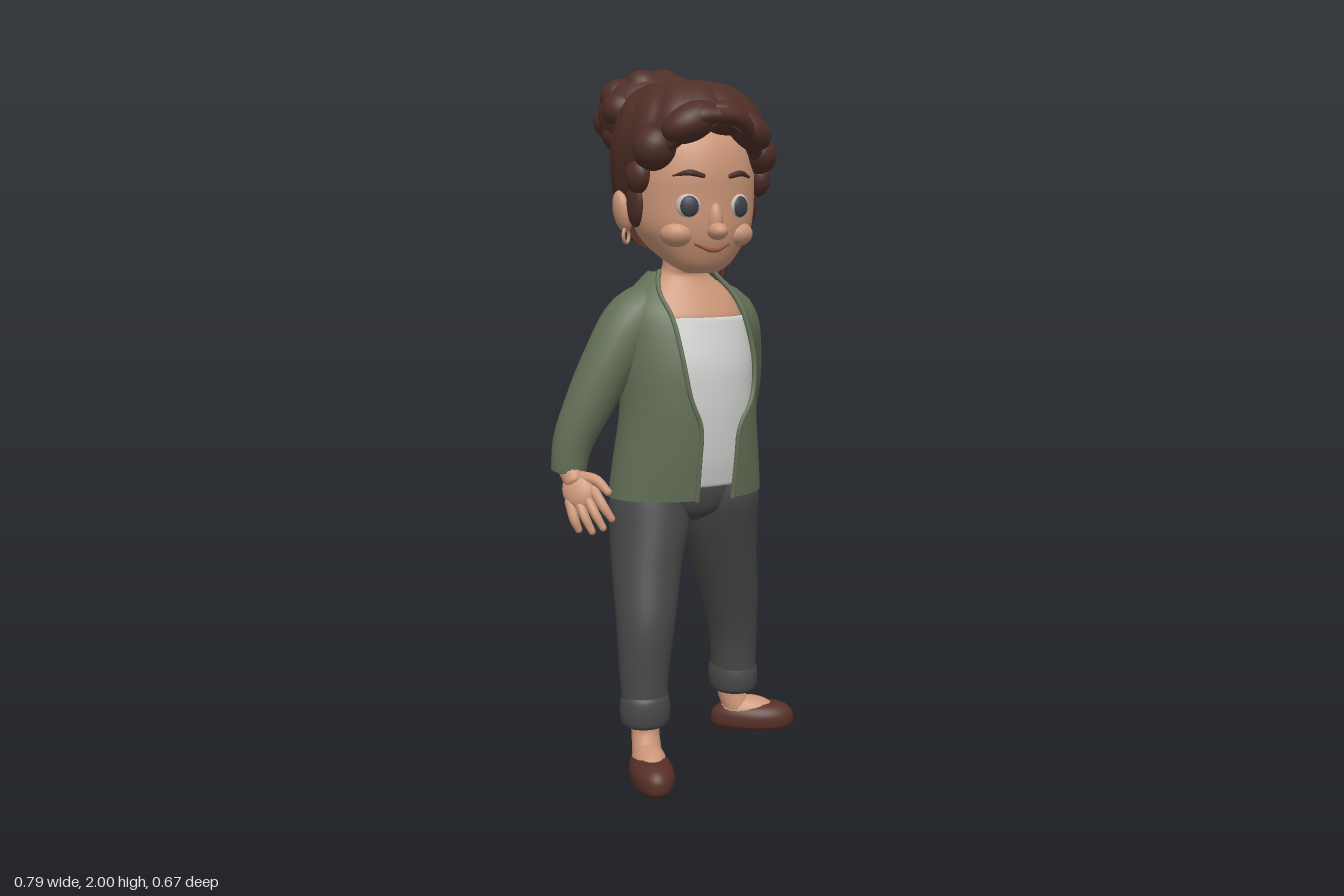
import * as THREE from 'three';

const mat = (name, color, side = THREE.FrontSide) => {
  const m = new THREE.MeshStandardMaterial({ color, side });
  m.name = name;
  return m;
};

// Skin a list of closed or open point rows, smooth shaded
function gridGeometry(rows, closed) {
  const n = rows[0].length, pos = [], idx = [];
  rows.forEach(r => r.forEach(p => pos.push(p.x, p.y, p.z)));
  for (let j = 0; j < rows.length - 1; j++) {
    for (let i = 0; i < (closed ? n : n - 1); i++) {
      const k = (i + 1) % n, a = j * n + i, b = j * n + k, c = a + n, d = b + n;
      idx.push(a, b, d, a, d, c);
    }
  }
  const g = new THREE.BufferGeometry();
  g.setAttribute('position', new THREE.Float32BufferAttribute(pos, 3));
  g.setIndex(idx);
  g.computeVertexNormals();
  return g;
}

// Smooth interpolation between section rows
function sample(rows, t) {
  const n = rows.length - 1, i = Math.min(Math.floor(t * n), n - 1), f = t * n - i;
  const at = k => rows[Math.max(0, Math.min(n, k))];
  return rows[i].map((b, k) => {
    const a = at(i - 1)[k], c = at(i + 1)[k], d = at(i + 2)[k];
    return b + 0.5 * f * (c - a + f * (2 * a - 5 * b + 4 * c - d + f * (3 * (b - c) + d - a)));
  });
}

// Horizontal elliptic sections [y, cx, cz, rx, rz, openLeft, openRight], bottom to top.
// The two optional angles leave a gap at the front.
function loftRows(sections, { steps = 32, sides = 40, ripple = () => 1 } = {}) {
  const open = sections[0].length > 5, rows = [];
  for (let j = 0; j <= steps; j++) {
    const [y, cx, cz, rx, rz, l = 0, r = 0] = sample(sections, j / steps);
    const row = [];
    for (let i = 0; i < sides + (open ? 1 : 0); i++) {
      const a = r + (Math.PI * 2 + l - r) * i / sides, k = ripple(a);
      row.push(new THREE.Vector3(cx + rx * k * Math.sin(a), y, cz + rz * k * Math.cos(a)));
    }
    rows.push(row);
  }
  if (!open) {
    const cap = s => rows[0].map(() => new THREE.Vector3(s[1], s[0], s[2]));
    rows.unshift(cap(sections[0]));
    rows.push(cap(sections[sections.length - 1]));
  }
  return rows;
}
const loft = (sections, opt) => gridGeometry(loftRows(sections, opt), sections[0].length <= 5);

// Tube through [x, y, z, radius] points with rounded ends
function sweep(pts, { round = 1, steps = 20, sides = 14 } = {}) {
  const curve = new THREE.CatmullRomCurve3(pts.map(p => new THREE.Vector3(...p)));
  const fr = curve.computeFrenetFrames(steps), rows = [];
  const ring = (j, scale, push) => {
    const c = curve.getPointAt(j / steps), t = curve.getUtoTmapping(j / steps);
    const r = sample(pts.map(p => [p[3]]), t)[0];
    c.addScaledVector(fr.tangents[j], push * r * round);
    rows.push(Array.from({ length: sides }, (_, i) => {
      const a = i / sides * Math.PI * 2;
      return c.clone().addScaledVector(fr.normals[j], Math.cos(a) * r * scale)
        .addScaledVector(fr.binormals[j], Math.sin(a) * r * scale);
    }));
  };
  const angles = [0, 0.25, 0.5, 0.75].map(f => f * Math.PI / 2);
  angles.forEach(a => ring(0, Math.sin(a), -Math.cos(a)));
  for (let j = 0; j <= steps; j++) ring(j, 1, 0);
  angles.reverse().forEach(a => ring(steps, Math.sin(a), Math.cos(a)));
  return gridGeometry(rows, true);
}

export function createModel() {
  const root = new THREE.Group();
  const skin = mat('skin', 0xcc9678), hair = mat('hair brown', 0x4f2e27, THREE.DoubleSide);
  const green = mat('jacket green', 0x647057, THREE.DoubleSide), grey = mat('trouser grey', 0x474748);
  const white = mat('shirt white', 0xd0d0ce), shoeMat = mat('shoe brown', 0x573028);
  const eyeWhite = mat('eye white', 0xc4b8ae), dark = mat('iris dark', 0x3e424a), lip = mat('lip', 0x94563f);
  const add = (name, geo, m, parent = root) => {
    const mesh = new THREE.Mesh(geo, m);
    mesh.name = name;
    parent.add(mesh);
    return mesh;
  };
  const ball = (name, p, s, m, parent = root) => {
    const b = add(name, new THREE.SphereGeometry(1, 20, 14), m, parent);
    b.position.set(...p);
    b.scale.set(...s);
    return b;
  };

  // Trousers
  add('trouserSeat', loft([[0.715, 0, -0.015, 0.03, 0.07], [0.745, 0, -0.015, 0.13, 0.108], [0.79, 0, -0.012, 0.19, 0.122], [0.84, 0, -0.01, 0.195, 0.125]]), grey);
  add('rightTrouserLeg', loft([[0.19, -0.185, 0.13, 0.064, 0.06], [0.3, -0.185, 0.12, 0.07, 0.065], [0.45, -0.17, 0.098, 0.084, 0.084],
    [0.6, -0.145, 0.045, 0.1, 0.105], [0.7, -0.122, 0.01, 0.113, 0.122], [0.78, -0.112, -0.01, 0.113, 0.125], [0.85, -0.1, -0.005, 0.09, 0.105]]), grey);
  add('leftTrouserLeg', loft([[0.16, 0.21, -0.115, 0.066, 0.076], [0.3, 0.205, -0.105, 0.071, 0.08], [0.45, 0.178, -0.08, 0.086, 0.093],
    [0.6, 0.14, -0.05, 0.102, 0.108], [0.7, 0.12, -0.03, 0.113, 0.12], [0.78, 0.112, -0.015, 0.113, 0.125], [0.85, 0.1, -0.005, 0.09, 0.105]]), grey);
  for (const [name, x, y, z, rx, rz] of [['right', -0.187, 0.165, 0.13, 0.07, 0.065], ['left', 0.21, 0.135, -0.115, 0.072, 0.082]]) {
    add(name + 'TrouserCuff', loft([[0, 0.86], [0.012, 0.98], [0.045, 1.03], [0.075, 0.98], [0.088, 0.88]].map(([h, k]) => [y + h, x, z, rx * k, rz * k])), grey);
  }

  // Feet and flat shoes
  for (const [side, x, y, z, yaw] of [['right', -0.204, 0.025, 0.208, -0.2], ['left', 0.275, 0, -0.108, 1.12]]) {
    const foot = new THREE.Group();
    foot.name = side + 'Foot';
    foot.position.set(x, y, z);
    foot.rotation.y = yaw;
    root.add(foot);
    const shoe = loft([[0, 0, 0, 0.044, 0.114], [0.015, 0, 0, 0.057, 0.127], [0.045, 0, 0, 0.058, 0.127], [0.066, 0, 0, 0.047, 0.112], [0.078, 0, 0, 0.03, 0.09]]);
    const p = shoe.attributes.position;
    for (let i = 0; i < p.count; i++) p.setX(i, p.getX(i) * (1 + 1.3 * p.getZ(i)));
    shoe.computeVertexNormals();
    add('shoe', shoe, shoeMat, foot);
    ball('instep', [0, 0.055, -0.018], [0.047, 0.045, 0.088], skin, foot);
    add('ankle', sweep([[0, 0.18, -0.075, 0.044], [0, 0.12, -0.07, 0.04], [0, 0.07, -0.05, 0.042]]), skin, foot);
  }

  // Torso: jacket with open front over the shirt and chest
  const torso = [[0.79, 0, -0.01, 0.232, 0.15], [0.9, 0, 0, 0.219, 0.157], [1.0, 0, 0.01, 0.206, 0.158], [1.08, 0, 0.015, 0.201, 0.157],
    [1.18, 0, 0.014, 0.2, 0.153], [1.3, -0.005, 0, 0.192, 0.135], [1.36, -0.005, -0.015, 0.165, 0.112], [1.425, -0.005, -0.025, 0.1, 0.075]];
  const gap = [[-0.03, 0.085], [-0.03, 0.09], [-0.03, 0.1], [-0.06, 0.155], [-0.078, 0.165], [-0.09, 0.145], [-0.105, 0.125], [-0.085, 0.075]];
  const jacketRows = loftRows(torso.map((s, i) => [...s, ...gap[i].map(x => Math.asin(x / s[3]))]), { sides: 56 });
  add('jacketBody', gridGeometry(jacketRows, false), green);
  for (const end of [0, 56]) {
    add('jacketEdge', sweep(jacketRows.filter((_, j) => j % 2 === 0).map(r => [r[end].x, r[end].y, r[end].z, 0.007]), { steps: 32, sides: 8 }), green);
  }
  const inner = torso.map(([y, cx, cz, rx, rz]) => [y, cx, cz, rx - 0.012, rz - 0.012]);
  add('shirt', loft([[0.825, 0, -0.01, 0.21, 0.138], ...inner.slice(1, 6)]), white);
  add('chestAndNeck', loft([[1.28, -0.005, 0, 0.165, 0.113], [1.305, -0.005, 0, 0.17, 0.116], [1.36, -0.005, -0.01, 0.145, 0.098],
    [1.41, -0.01, -0.005, 0.085, 0.068], [1.44, -0.012, 0.01, 0.062, 0.06], [1.52, -0.015, 0.02, 0.062, 0.06]]), skin);

  // Sleeves
  add('rightSleeve', sweep([[-0.08, 1.335, -0.015, 0.075], [-0.155, 1.285, -0.012, 0.087], [-0.23, 1.18, -0.01, 0.077], [-0.29, 1.06, -0.02, 0.068],
    [-0.335, 0.95, -0.033, 0.057], [-0.347, 0.87, -0.036, 0.05]], { round: 0.15, sides: 22 }), green);
  add('leftSleeve', sweep([[0.07, 1.335, -0.015, 0.075], [0.14, 1.285, -0.03, 0.088], [0.19, 1.2, -0.075, 0.08], [0.23, 1.09, -0.135, 0.071],
    [0.26, 0.98, -0.195, 0.056], [0.27, 0.89, -0.23, 0.045]], { round: 0.15, sides: 22 }), green);

  // Hands: fingers point along local -y, thumb on local +x
  const hands = [['right', [-0.35, 0.88, -0.02], [0.04, -0.155, 0.105], [0.8, 0.3, 0.55], 1.14],
    ['left', [0.268, 0.9, -0.215], [0.005, -0.16, 0.07], [-0.25, 0.4, 1], 1.08]];
  for (const [side, wrist, dir, across, size] of hands) {
    const up = new THREE.Vector3(...dir).normalize().negate();
    const x = new THREE.Vector3(...across);
    x.addScaledVector(up, -x.dot(up)).normalize();
    const hand = new THREE.Group();
    hand.name = side + 'Hand';
    hand.applyMatrix4(new THREE.Matrix4().makeBasis(x, up, x.clone().cross(up)).setPosition(...wrist));
    hand.scale.setScalar(size);
    root.add(hand);
    add('wrist', sweep([[0, 0.01, 0, 0.028], [0, -0.035, 0, 0.027]], { steps: 4, round: 0.5 }), skin, hand);
    ball('palm', [0, -0.06, 0], [0.042, 0.048, 0.022], skin, hand);
    for (let i = 0; i < 4; i++) {
      const u = (i - 1.5) * 0.022, len = [0.055, 0.075, 0.08, 0.07][i];
      add('finger', sweep([[u, -0.075, 0, 0.013], [u * 1.2, -0.1 - len * 0.4, 0.003, 0.012], [u * 1.3, -0.09 - len, -0.008, 0.009]], { steps: 8, sides: 10 }), skin, hand);
    }
    add('thumb', sweep([[0.02, -0.035, 0, 0.016], [0.05, -0.06, 0.004, 0.014], [0.065, -0.1, 0.004, 0.01]], { steps: 8, sides: 10 }), skin, hand);
  }

  // Face
  add('head', loft([[1.425, -0.015, 0.13, 0.045, 0.035], [1.45, -0.015, 0.118, 0.088, 0.07], [1.5, -0.015, 0.085, 0.135, 0.125], [1.55, -0.015, 0.075, 0.165, 0.145],
    [1.62, -0.015, 0.07, 0.174, 0.153], [1.7, -0.015, 0.065, 0.174, 0.16], [1.78, -0.015, 0.05, 0.158, 0.153], [1.84, -0.015, 0.04, 0.1, 0.1]]), skin);
  ball('nose', [-0.015, 1.537, 0.232], [0.026, 0.023, 0.036], skin);
  ball('noseBridge', [-0.015, 1.565, 0.212], [0.022, 0.05, 0.028], skin);
  add('mouth', sweep([[-0.065, 1.503, 0.2, 0.004], [-0.015, 1.486, 0.211, 0.006], [0.035, 1.503, 0.2, 0.004]], { sides: 8 }), lip);
  for (const s of [-1, 1]) {
    const x = -0.012 + s * 0.075;
    ball('cheek', [-0.015 + s * 0.085, 1.53, 0.165], [0.05, 0.036, 0.045], skin);
    ball('eye', [x, 1.605, 0.203], [0.034, 0.033, 0.015], eyeWhite).rotation.y = s * 0.35;
    ball('iris', [x, 1.603, 0.21], [0.026, 0.028, 0.012], dark).rotation.y = s * 0.3;
    add('eyebrow', sweep([[x - s * 0.035, 1.682, 0.22, 0.007], [x, 1.69, 0.212, 0.008], [x + s * 0.036, 1.682, 0.188, 0.004]], { sides: 8 }), hair);
    ball('ear', [-0.015 + s * 0.187, 1.59, 0.022], [0.024, 0.058, 0.036], skin).rotation.z = -s * 0.2;
    const ring = add('earring', new THREE.TorusGeometry(0.02, 0.005, 8, 20), skin);
    ring.position.set(-0.015 + s * 0.18, 1.525, 0.03);
    ring.rotation.y = 0.8;
  }

  // Swept-up hair with grooves, open around the face
  const shell = [[1.475, -0.045, 0.05, 0.035, 1.9], [1.5, -0.04, 0.115, 0.085, 1.85], [1.55, -0.02, 0.165, 0.135, 1.7], [1.61, 0, 0.19, 0.165, 1.45],
    [1.68, 0.02, 0.207, 0.182, 0.95], [1.76, 0.04, 0.214, 0.203, 0.6], [1.82, 0.05, 0.203, 0.207, 0.05], [1.88, 0.04, 0.175, 0.187, 0],
    [1.93, 0.02, 0.115, 0.135, 0], [1.95, 0.01, 0.0002, 0.0002, 0]];
  add('hairCap', loft(shell.map(([y, z, rx, rz, a]) => [y, -0.012, z, rx, rz, -a, a]),
    { sides: 112, steps: 45, ripple: a => 1 + 0.04 * (Math.abs(Math.sin(7 * a)) - 0.5) }), hair);
  // Soft waves along the hairline: position, radii, tilt
  const waves = [[-0.085, 1.82, 0.215, 0.085, 0.05, 0.06, 0.45], [-0.16, 1.755, 0.15, 0.062, 0.058, 0.06, 0.9], [-0.185, 1.685, 0.1, 0.036, 0.05, 0.045, 0],
    [0.015, 1.835, 0.21, 0.07, 0.046, 0.055, -0.1], [0.095, 1.805, 0.19, 0.07, 0.045, 0.06, -0.6], [0.15, 1.745, 0.14, 0.055, 0.05, 0.058, -0.9], [0.17, 1.68, 0.1, 0.034, 0.05, 0.045, 0]];
  waves.forEach(([x, y, z, a, b, c, tilt]) => { ball('hairWave', [x, y, z], [a, b, c], hair).rotation.z = tilt; });
  for (const s of [-1, 1]) {
    ball('sideLock', [-0.015 + s * 0.168, 1.615, 0.072], [0.022, 0.068, 0.045], hair);
    add('frontSwirl', sweep([[-0.03, 1.835, 0.265, 0.02], [-0.02 + s * 0.055, 1.83, 0.252, 0.025], [-0.015 + s * 0.105, 1.785, 0.212, 0.024], [-0.015 + s * 0.15, 1.735, 0.165, 0.02]]), hair);
  }

  // Bun made of merged rounded lobes
  ball('bunCore', [-0.025, 1.86, -0.18], [0.162, 0.13, 0.142], hair);
  for (let i = 0; i < 22; i++) {
    const h = 1 - (2 * i + 1) / 22, a = i * 2.4, q = Math.sqrt(1 - h * h);
    ball('bunLobe', [-0.025 + 0.117 * q * Math.cos(a), 1.86 + 0.087 * h, -0.182 + 0.1 * q * Math.sin(a)], [0.06, 0.055, 0.058], hair);
  }

  // Hanging strands behind the left shoulder
  for (let i = 0; i < 5; i++) {
    const u = (i - 2) * 0.019, x = (i % 2) * 0.018 - u * 0.3;
    add('hangingStrand', sweep([[0.112 + x, 1.735, -0.225 + u * 1.1, 0.019], [0.155 + x, 1.62, -0.2 + u * 1.1, 0.021],
      [0.164 + x, 1.46, -0.16 + u, 0.02], [0.132 + x, 1.32, -0.132 + u * 0.8, 0.016]], { round: 0.4 }), hair);
  }
  return root;
}
